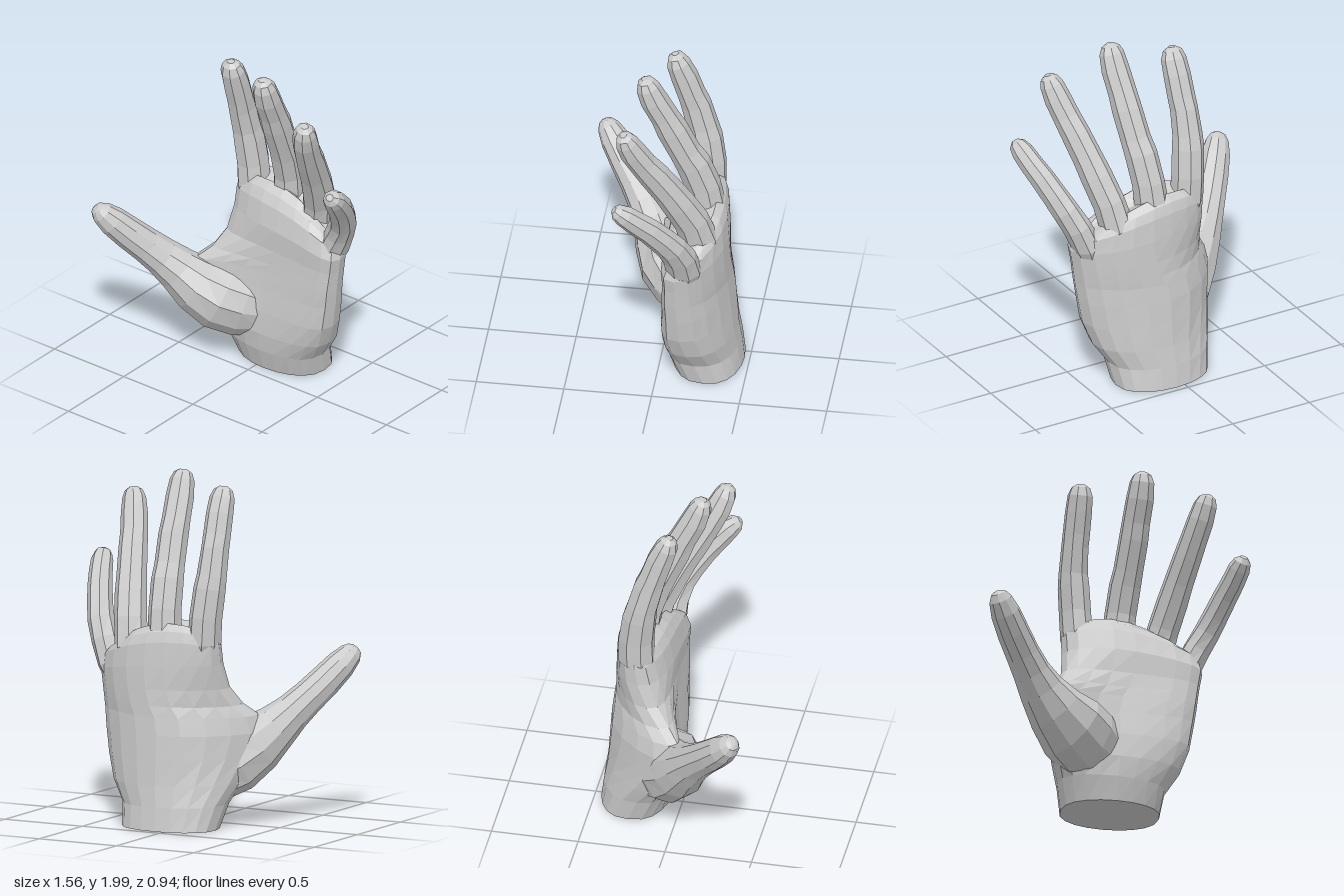
import * as THREE from 'three';

const material = new THREE.MeshStandardMaterial({ color: 0xcccccc, flatShading: true });

// Skin a list of closed rings (arrays of Vector3) and cap both ends.
function skin(rings, name) {
  const n = rings[0].length, pos = [], idx = [];
  rings.forEach(r => r.forEach(p => pos.push(p.x, p.y, p.z)));
  for (let k = 0; k < rings.length - 1; k++) {
    for (let i = 0; i < n; i++) {
      const a = k * n + i, b = k * n + (i + 1) % n;
      idx.push(a, a + n, b, b, a + n, b + n);
    }
  }
  [0, rings.length - 1].forEach((k, end) => {
    const c = new THREE.Vector3();
    rings[k].forEach(p => c.addScaledVector(p, 1 / n));
    const ci = pos.length / 3;
    pos.push(c.x, c.y, c.z);
    for (let i = 0; i < n; i++) {
      const a = k * n + i, b = k * n + (i + 1) % n;
      if (end) idx.push(a, ci, b); else idx.push(a, b, ci);
    }
  });
  const g = new THREE.BufferGeometry();
  g.setAttribute('position', new THREE.Float32BufferAttribute(pos, 3));
  g.setIndex(idx);
  g.computeVertexNormals();
  const mesh = new THREE.Mesh(g, material);
  mesh.name = name;
  return mesh;
}

// Digit from rows [x, y, z, half width, half depth], root to tip.
function digit(name, rows, ref = new THREE.Vector3(1, 0, 0), sides = 8) {
  const pts = rows.map(r => new THREE.Vector3(r[0], r[1], r[2]));
  const rings = rows.map((r, k) => {
    const t = pts[Math.min(k + 1, pts.length - 1)].clone().sub(pts[Math.max(k - 1, 0)]).normalize();
    const side = ref.clone().addScaledVector(t, -ref.dot(t)).normalize();
    const depth = side.clone().cross(t);
    return Array.from({ length: sides }, (_, i) => {
      const a = (i + 0.5) / sides * Math.PI * 2;
      return pts[k].clone()
        .addScaledVector(side, Math.cos(a) * r[3] * 1.06)
        .addScaledVector(depth, Math.sin(a) * r[4] * 1.06);
    });
  });
  return skin(rings, name);
}

// Palm ring: edge points, back and front depth, forward curl of each edge, rise of the middle.
function palmRing([xL, yL, xR, yR, zB, zF, curlL, curlR, rise]) {
  const n = 20;
  return Array.from({ length: n }, (_, i) => {
    const a = i / n * Math.PI * 2, u = Math.cos(a), s = Math.sin(a), w = (u + 1) / 2;
    const z = (zB + zF) / 2 + (zF - zB) / 2 * Math.sign(s) * Math.abs(s) ** 0.8;
    return new THREE.Vector3(
      xL + (xR - xL) * w,
      yL + (yR - yL) * w + rise * (1 - u * u),
      z + (u < 0 ? curlL : curlR) * u * u
    );
  });
}

export function createModel() {
  const hand = new THREE.Group();
  hand.name = 'hand';

  // Palm and cut wrist
  hand.add(skin([
    [-0.23, 0.01, 0.34, 0.01, -0.47, -0.07, 0.00, 0.00, 0.00],
    [-0.26, 0.15, 0.36, 0.14, -0.455, -0.03, 0.03, 0.02, 0.00],
    [-0.31, 0.27, 0.44, 0.26, -0.44, -0.015, 0.10, 0.04, 0.00],
    [-0.36, 0.42, 0.49, 0.40, -0.43, -0.02, 0.19, 0.07, 0.00],
    [-0.385, 0.55, 0.515, 0.55, -0.42, -0.035, 0.23, 0.08, 0.00],
    [-0.36, 0.645, 0.53, 0.66, -0.41, -0.045, 0.22, 0.09, 0.00],
    [-0.295, 0.71, 0.537, 0.72, -0.405, -0.05, 0.15, 0.09, 0.00],
    [-0.25, 0.81, 0.545, 0.78, -0.40, -0.055, 0.07, 0.09, 0.01],
    [-0.235, 0.95, 0.56, 0.87, -0.395, -0.05, 0.01, 0.09, 0.03],
    [-0.235, 1.06, 0.545, 0.94, -0.385, -0.075, 0.00, 0.08, 0.07],
    [-0.225, 1.11, 0.51, 0.97, -0.365, -0.11, 0.00, 0.07, 0.09],
    [-0.18, 1.14, 0.46, 1.00, -0.325, -0.16, 0.00, 0.06, 0.10],
  ].map(palmRing), 'palm'));

  // Fingers
  hand.add(digit('indexFinger', [
    [-0.12, 0.92, -0.21, 0.06, 0.07],
    [-0.143, 1.08, -0.235, 0.088, 0.10],
    [-0.152, 1.22, -0.235, 0.086, 0.098],
    [-0.165, 1.38, -0.215, 0.085, 0.094],
    [-0.17, 1.45, -0.20, 0.08, 0.086],
    [-0.17, 1.60, -0.16, 0.073, 0.083],
    [-0.167, 1.67, -0.135, 0.074, 0.076],
    [-0.163, 1.79, -0.095, 0.073, 0.074],
    [-0.16, 1.88, -0.06, 0.069, 0.064],
    [-0.16, 1.925, -0.047, 0.052, 0.045],
    [-0.16, 1.945, -0.043, 0.022, 0.02],
  ]));
  hand.add(digit('middleFinger', [
    [0.085, 0.95, -0.23, 0.06, 0.08],
    [0.10, 1.11, -0.26, 0.09, 0.105],
    [0.11, 1.24, -0.24, 0.086, 0.098],
    [0.125, 1.40, -0.185, 0.086, 0.095],
    [0.135, 1.48, -0.142, 0.081, 0.086],
    [0.15, 1.64, -0.07, 0.08, 0.087],
    [0.155, 1.73, -0.028, 0.077, 0.077],
    [0.165, 1.85, 0.033, 0.076, 0.075],
    [0.17, 1.94, 0.068, 0.067, 0.064],
    [0.17, 1.98, 0.08, 0.05, 0.045],
    [0.17, 1.997, 0.084, 0.022, 0.02],
  ]));
  hand.add(digit('ringFinger', [
    [0.28, 0.86, -0.21, 0.06, 0.08],
    [0.322, 1.03, -0.245, 0.09, 0.105],
    [0.35, 1.16, -0.207, 0.086, 0.098],
    [0.387, 1.30, -0.138, 0.085, 0.093],
    [0.412, 1.40, -0.083, 0.08, 0.087],
    [0.447, 1.53, -0.005, 0.077, 0.084],
    [0.472, 1.62, 0.052, 0.074, 0.075],
    [0.50, 1.72, 0.106, 0.072, 0.073],
    [0.52, 1.80, 0.14, 0.064, 0.062],
    [0.53, 1.84, 0.152, 0.048, 0.045],
    [0.533, 1.858, 0.156, 0.022, 0.02],
  ]));
  hand.add(digit('littleFinger', [
    [0.43, 0.76, -0.17, 0.05, 0.07],
    [0.48, 0.91, -0.18, 0.077, 0.10],
    [0.533, 1.03, -0.165, 0.075, 0.092],
    [0.585, 1.13, -0.127, 0.071, 0.084],
    [0.622, 1.21, -0.073, 0.068, 0.078],
    [0.662, 1.30, -0.003, 0.066, 0.073],
    [0.695, 1.37, 0.066, 0.063, 0.067],
    [0.719, 1.43, 0.125, 0.06, 0.06],
    [0.731, 1.462, 0.163, 0.047, 0.046],
    [0.735, 1.478, 0.182, 0.022, 0.02],
  ]));

  // Thumb with the fleshy mound at its root
  hand.add(digit('thumb', [
    [0.10, 0.30, -0.19, 0.09, 0.06],
    [0.00, 0.32, -0.15, 0.16, 0.115],
    [-0.11, 0.35, -0.09, 0.205, 0.155],
    [-0.22, 0.405, -0.01, 0.20, 0.17],
    [-0.33, 0.48, 0.055, 0.16, 0.15],
    [-0.42, 0.57, 0.11, 0.125, 0.122],
    [-0.49, 0.65, 0.167, 0.102, 0.106],
    [-0.555, 0.73, 0.23, 0.092, 0.096],
    [-0.625, 0.82, 0.305, 0.088, 0.089],
    [-0.685, 0.905, 0.372, 0.081, 0.08],
    [-0.725, 0.965, 0.418, 0.064, 0.061],
    [-0.74, 0.994, 0.438, 0.042, 0.038],
    [-0.745, 1.003, 0.444, 0.018, 0.016],
  ], new THREE.Vector3(0.8, 0.6, 0), 10));

  return hand;
}
